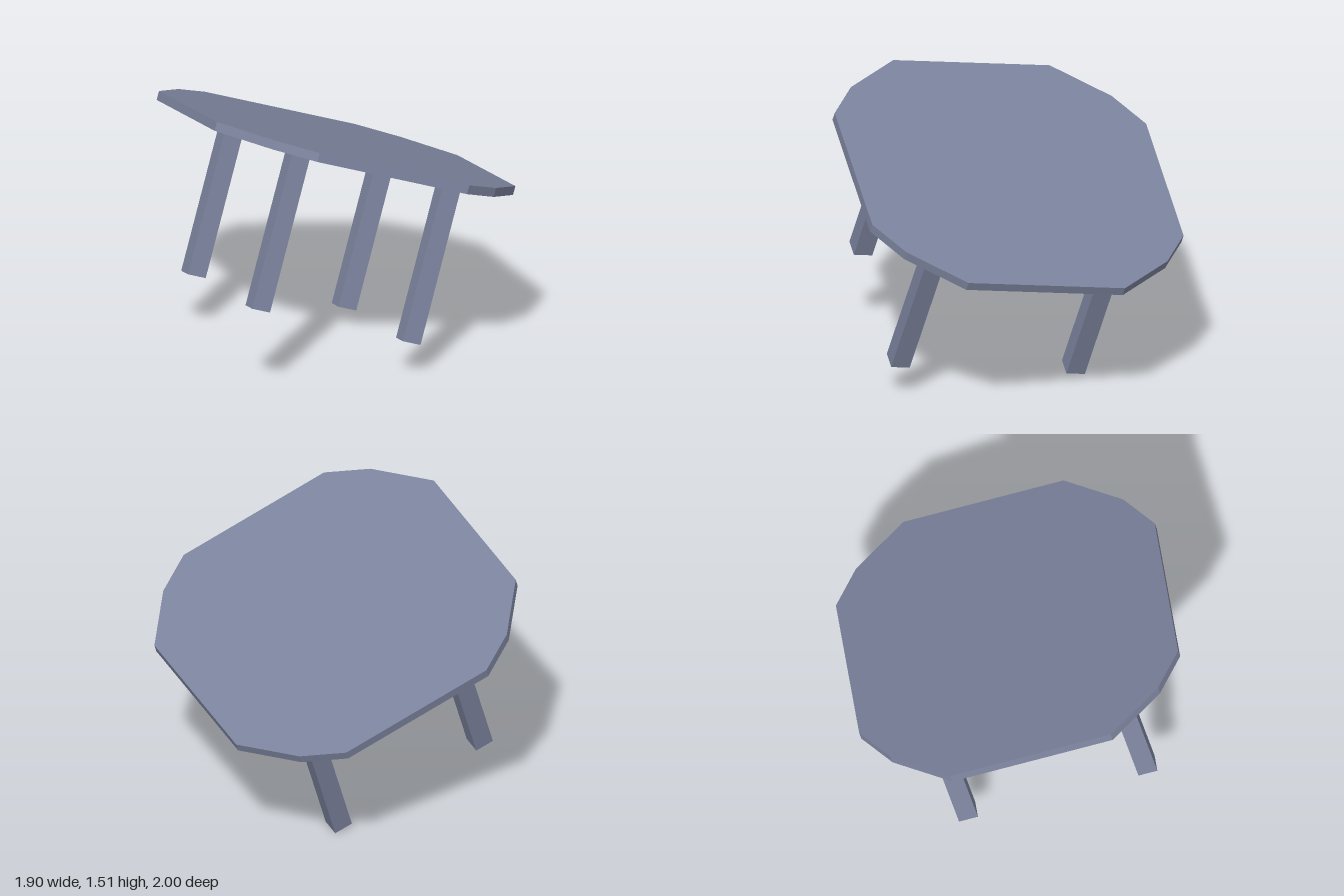
import * as THREE from 'three';

const deg = THREE.MathUtils.degToRad;

export function createModel() {
  const model = new THREE.Group();
  model.name = 'tiltedTable';
  const material = new THREE.MeshStandardMaterial({ color: 0x7b829c, flatShading: true });

  // The whole table leans: its top slopes down towards +x
  const table = new THREE.Group();
  table.name = 'table';
  table.position.set(0.017, 1.15, 0);
  table.rotation.set(0.014, 0, deg(-21.3));
  model.add(table);

  // Tabletop: twelve unevenly spaced corners on a unit circle, repeated after half a turn
  const thickness = 0.05;
  const half = [3.1, 56.5, 78.4, 93.3, 146.5, 161.3];
  const corners = [...half, ...half.map((a) => a + 180)].map(
    (a) => new THREE.Vector2(Math.cos(deg(a)), Math.sin(deg(a)))
  );
  const topGeometry = new THREE.ExtrudeGeometry(new THREE.Shape(corners), {
    depth: thickness,
    bevelEnabled: false,
  });
  topGeometry.rotateX(Math.PI / 2);
  const tabletop = new THREE.Mesh(topGeometry, material);
  tabletop.name = 'tabletop';
  table.add(tabletop);

  // Four square legs on a rectangle turned 30 degrees under the top
  const legs = new THREE.Group();
  legs.name = 'legs';
  legs.position.set(0.035, 0, 0.023);
  legs.rotation.y = deg(-30);
  table.add(legs);

  const bottom = 0.942;
  const legLength = bottom - thickness;
  const legGeometry = new THREE.BoxGeometry(0.106, legLength, 0.106);
  for (const sx of [-1, 1]) {
    for (const sz of [-1, 1]) {
      const leg = new THREE.Mesh(legGeometry, material);
      leg.name = `${sz > 0 ? 'front' : 'back'}${sx > 0 ? 'Left' : 'Right'}Leg`;
      leg.position.set(sx * 0.45, -thickness - legLength / 2, sz * 0.503);
      legs.add(leg);
    }
  }

  return model;
}
